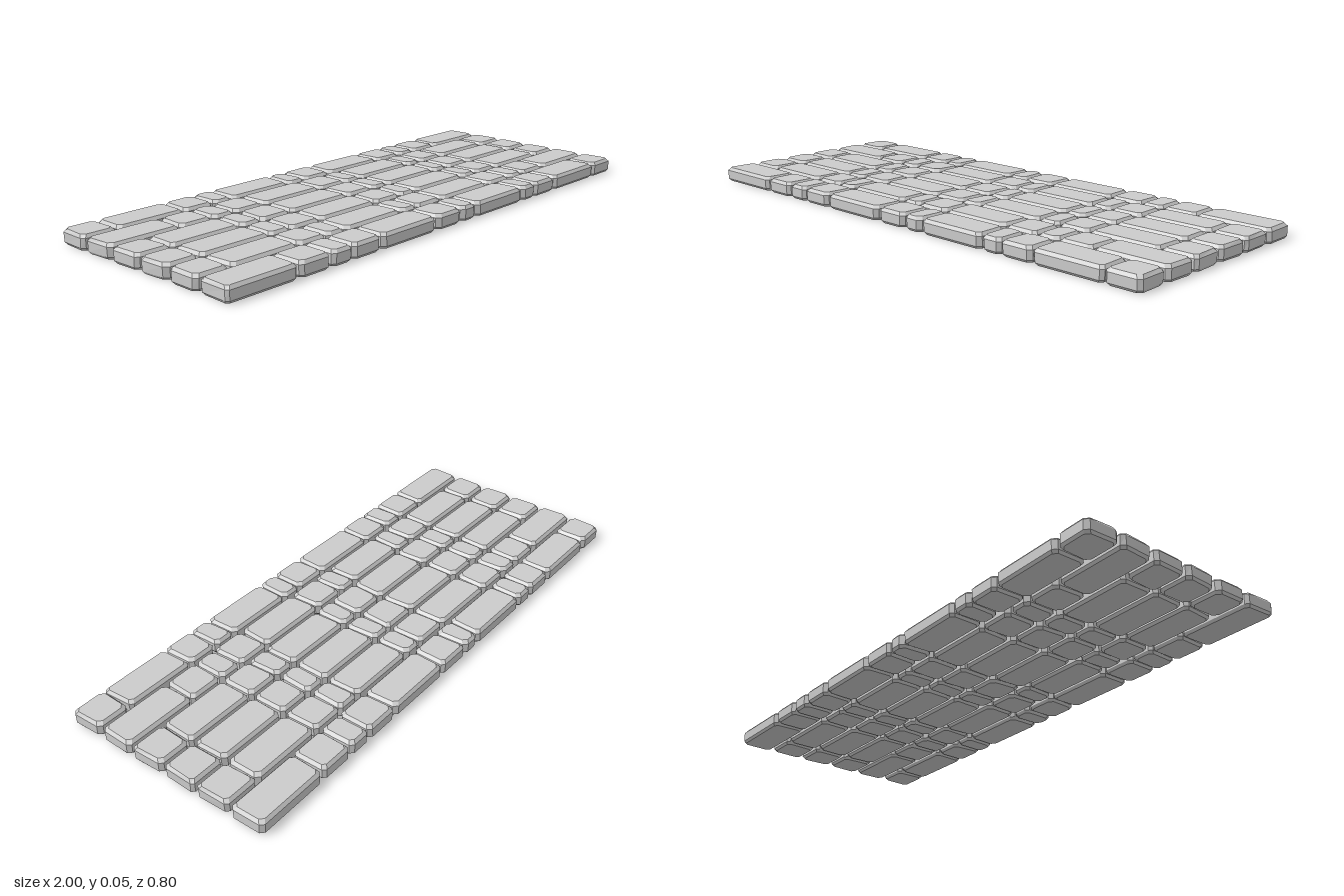
import * as THREE from 'three';

const material = new THREE.MeshStandardMaterial({ color: 0xcccccc, flatShading: true });
const HEIGHT = 0.053, DEPTH = 0.124, PITCH = 0.1352, GAP = 0.003;

// Joint positions along x; the second bond is the first one turned end for end
const bondA = [-1, -0.87, -0.6, -0.475, -0.39, -0.12, -0.037, 0.095, 0.367, 0.5, 0.592, 0.725, 1];
const bondB = bondA.map((x) => -x).reverse();
const bondC = [-1, -0.87, ...bondB.slice(2)];
const rows = [bondA, bondB, bondC, bondC, bondA, bondB];

function seeded(seed) {
  return () => {
    seed = (seed * 16807) % 2147483647;
    return seed / 2147483647 - 0.5;
  };
}

// Chamfered stone: four octagonal rings, with its two ends slightly skewed
function stoneGeometry(x0, x1, z0, z1, random) {
  const skew = [random() * 0.008, random() * 0.008];
  const tilt = [random() * 0.006, random() * 0.006];
  const cut = 0.013 + random() * 0.004;
  const levels = [[0, 0.008], [0.009, 0.001], [HEIGHT - 0.011, 0], [HEIGHT, 0.009]];
  const positions = [], index = [];
  const zMid = (z0 + z1) / 2;

  for (const [y, inset] of levels) {
    const l = x0 + inset, r = x1 - inset, b = z0 + inset, f = z1 - inset;
    const ring = [
      [l + cut, f], [r - cut, f], [r, f - cut], [r, b + cut],
      [r - cut, b], [l + cut, b], [l, b + cut], [l, f - cut],
    ];
    for (const [x, z] of ring) {
      const end = x < (x0 + x1) / 2 ? 0 : 1;
      const shift = skew[end] * ((z - zMid) / DEPTH) * 2 + tilt[end] * (y / HEIGHT - 0.5);
      positions.push(THREE.MathUtils.clamp(x + shift, -1, 1), y, z);
    }
  }
  for (let k = 0; k < 3; k++) {
    for (let i = 0; i < 8; i++) {
      const a = k * 8 + i, b = k * 8 + ((i + 1) % 8);
      index.push(a, b, b + 8, a, b + 8, a + 8);
    }
  }
  for (let i = 1; i < 7; i++) {
    index.push(0, i + 1, i); // underside
    index.push(24, 24 + i, 25 + i); // top
  }
  const geometry = new THREE.BufferGeometry();
  geometry.setAttribute('position', new THREE.Float32BufferAttribute(positions, 3));
  geometry.setIndex(index);
  geometry.computeVertexNormals();
  return geometry;
}

export function createModel() {
  const pavement = new THREE.Group();
  pavement.name = 'stonePavement';
  const random = seeded(4217);

  // Six rows of stones running along x, from back to front
  rows.forEach((joints, r) => {
    const row = new THREE.Group();
    row.name = `stoneRow${r + 1}`;
    const z = (r - 2.5) * PITCH;
    for (let i = 0; i < joints.length - 1; i++) {
      const x0 = joints[i] + (i === 0 ? 0 : GAP);
      const x1 = joints[i + 1] - (i === joints.length - 2 ? 0 : GAP);
      const stone = new THREE.Mesh(stoneGeometry(x0, x1, z - DEPTH / 2, z + DEPTH / 2, random), material);
      stone.name = `stone${i + 1}`;
      row.add(stone);
    }
    pavement.add(row);
  });
  return pavement;
}
